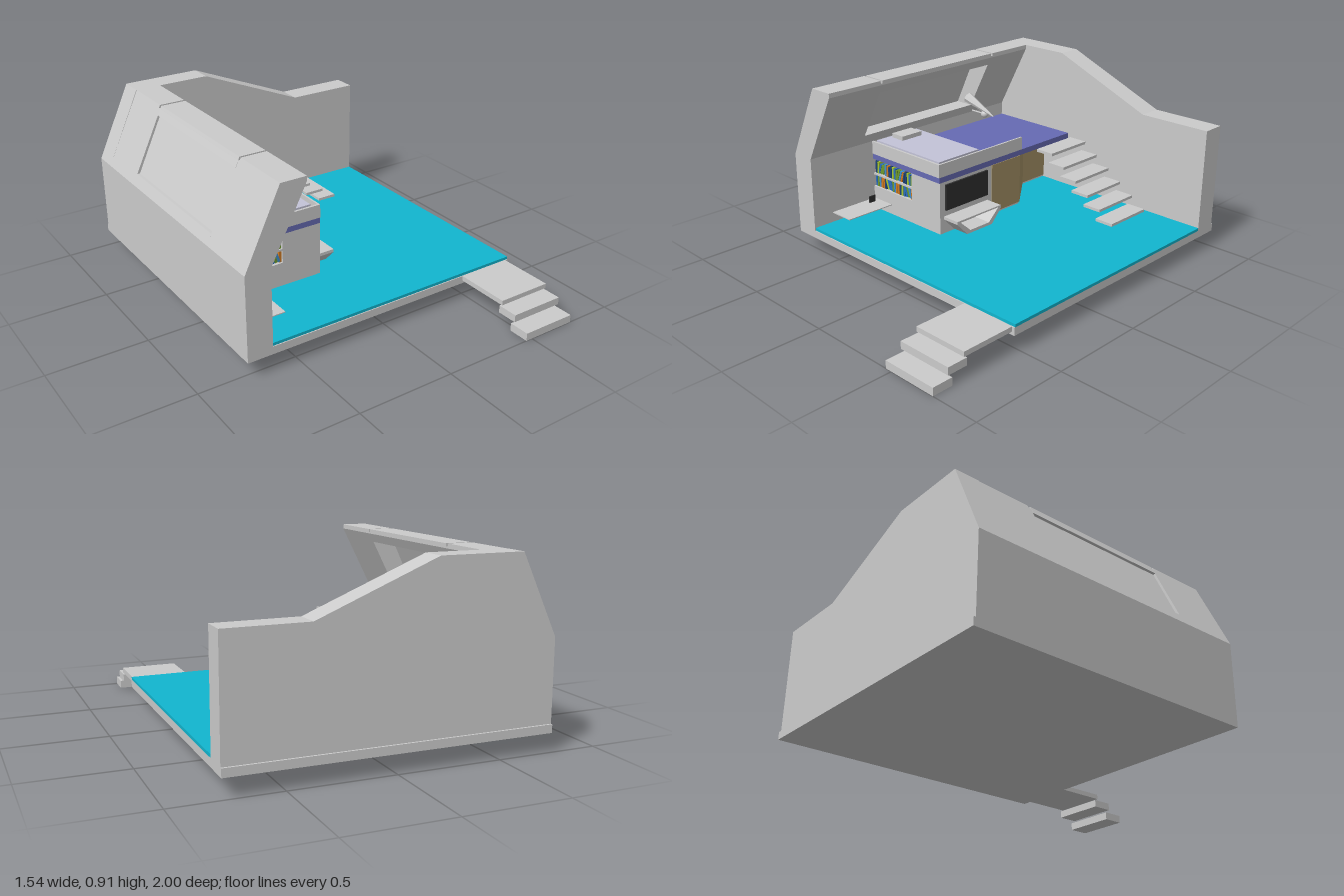
import * as THREE from 'three';

const material = (color) => new THREE.MeshStandardMaterial({ color });
const grey = material(0xcccccc);
const teal = material(0x11b6cf);
const purple = material(0x666ab3);
const lavender = material(0xc4c4d8);
const tan = material(0xa59266);
const black = material(0x303030);
const bookMats = [0x2a6fc0, 0xa8c832, 0x1c4378, 0xd07a20, 0x3f8fd0, 0x6f9a2c].map(material);

export function createModel() {
  const model = new THREE.Group();

  const add = (name, geo, mat = grey, parent = model) => {
    const mesh = new THREE.Mesh(geo, mat);
    mesh.name = name;
    parent.add(mesh);
    return mesh;
  };
  // Box given by its extents on each axis
  const box = (name, [x0, x1], [y0, y1], [z0, z1], mat, parent) => {
    const mesh = add(name, new THREE.BoxGeometry(x1 - x0, y1 - y0, z1 - z0), mat, parent);
    mesh.position.set((x0 + x1) / 2, (y0 + y1) / 2, (z0 + z1) / 2);
    return mesh;
  };
  const toShape = (pts) => new THREE.Shape(pts.map(([x, y]) => new THREE.Vector2(x, y)));
  const extrude = (shape, depth) => new THREE.ExtrudeGeometry(shape, { depth, bevelEnabled: false });
  // Profile in x, y drawn out along z
  const alongZ = (name, pts, z0, z1, mat, parent) =>
    add(name, extrude(toShape(pts), z1 - z0).translate(0, 0, z0), mat, parent);
  // Plan in x, z raised along y
  const raise = (name, plan, y0, y1, mat, parent) =>
    add(name, extrude(toShape(plan.map(([x, z]) => [x, -z])), y1 - y0).rotateX(-Math.PI / 2).translate(0, y0, 0), mat, parent);

  // Floor
  box('floorSlab', [-0.77, 0.77], [0.09, 0.13], [-1, 0.54]);
  box('carpet', [-0.64, 0.77], [0.13, 0.145], [-0.865, 0.535], teal);

  // Back wall with sloping top
  alongZ('backWall', [[-0.77, 0.13], [0.77, 0.13], [0.77, 0.675], [0.38, 0.675],
    [-0.185, 0.908], [-0.59, 0.908], [-0.77, 0.525]], -0.99, -0.865);

  // Slanted side wall, solid at both ends and open around the window
  const wall = new THREE.Group();
  wall.name = 'slantedWall';
  model.add(wall);
  const full = [[-0.77, 0.13], [-0.64, 0.13], [-0.64, 0.525], [-0.455, 0.885], [-0.455, 0.893], [-0.586, 0.893], [-0.594, 0.893], [-0.77, 0.525]];
  alongZ('wallBackSection', full, -0.865, -0.575, grey, wall);
  alongZ('wallFrontSection', full, 0.208, 0.54, grey, wall);
  alongZ('wallBelowWindow', [[-0.77, 0.13], [-0.64, 0.13], [-0.64, 0.525], [-0.613, 0.578],
    [-0.745, 0.578], [-0.77, 0.525]], -0.575, 0.208, grey, wall);
  alongZ('wallAboveWindow', [[-0.61, 0.863], [-0.478, 0.84], [-0.455, 0.885], [-0.455, 0.893],
    [-0.595, 0.893]], -0.575, 0.208, grey, wall);
  alongZ('windowPane', [[-0.73, 0.578], [-0.72, 0.578], [-0.587, 0.86], [-0.597, 0.86]], -0.575, 0.208, grey, wall);
  // Roof caps separated by narrow grooves
  [[-0.865, -0.59], [-0.575, 0.205], [0.217, 0.54]].forEach(([z0, z1]) =>
    alongZ('roofCap', [[-0.594, 0.893], [-0.455, 0.893], [-0.455, 0.908], [-0.587, 0.908]], z0, z1, grey, wall));

  // Cabinet under the bed, with a shelf recess and an angled niche
  const cabinet = new THREE.Group();
  cabinet.name = 'cabinet';
  model.add(cabinet);
  const side = [[-0.12, -0.455], [-0.3, -0.68], [-0.3, -0.865], [-0.64, -0.865]];
  raise('cabinetBase', [[-0.64, 0.135], [-0.12, 0.135], ...side], 0.145, 0.27, grey, cabinet);
  raise('cabinetUpper', [[-0.64, 0.04], [-0.335, 0.04], [-0.335, 0.135], [-0.12, 0.135], ...side], 0.27, 0.425, grey, cabinet);
  box('shelf', [-0.64, -0.335], [0.335, 0.345], [0.04, 0.135], grey, cabinet);
  raise('woodDoors', [[-0.12, -0.24], [-0.116, -0.24], [-0.116, -0.457], [-0.296, -0.682], [-0.296, -0.865],
    [-0.3, -0.865], [-0.3, -0.68], [-0.12, -0.455]], 0.155, 0.425, tan, cabinet);

  // Two rows of books, some leaning
  [0.272, 0.346].forEach((y, row) => {
    for (let i = 0; i < 20; i++) {
      const h = 0.056 + 0.012 * ((i * 7 + row * 3) % 4) / 3;
      const lean = (i + row * 4) % 10;
      const tilt = lean > 5 && lean < 9 ? (row ? -0.3 : 0.3) : 0;
      const book = add('book', new THREE.BoxGeometry(0.0125, h * (tilt ? 0.92 : 1), 0.075),
        bookMats[(i * 5 + row * 2 + (i >> 2)) % bookMats.length], cabinet);
      book.position.set(-0.627 + i * 0.0149, y + h / 2, 0.09);
      book.rotation.z = tilt;
    }
  });

  // Screen on the cabinet side
  box('screen', [-0.12, -0.11], [0.27, 0.41], [-0.203, 0.1], black);

  // Hollow trapezoid basin below the screen
  const basin = toShape([[-0.11, 0.238], [-0.11, 0.222], [-0.04, 0.15], [0.14, 0.15], [0.207, 0.222], [0.207, 0.238]]);
  basin.holes.push(new THREE.Path([[-0.09, 0.23], [0.187, 0.23], [0.118, 0.166], [-0.018, 0.166]]
    .map(([u, v]) => new THREE.Vector2(u, v))));
  const basinMesh = add('basin', extrude(basin, 0.1));
  basinMesh.rotation.y = Math.PI / 2;
  basinMesh.position.x = -0.12;

  // Sleeping platform, guard panels and mattress
  box('bedPlatform', [-0.64, -0.12], [0.425, 0.455], [-0.865, 0.137], purple);
  box('guardFront', [-0.64, -0.12], [0.455, 0.525], [0.127, 0.139]);
  box('guardSide', [-0.13, -0.12], [0.455, 0.525], [-0.475, 0.127]);
  box('mattress', [-0.64, -0.155], [0.455, 0.522], [-0.175, 0.105], lavender);
  box('pillow', [-0.62, -0.535], [0.522, 0.545], [-0.12, 0.015]);

  // Ball lamp on a short stem from the wall
  add('ballLamp', new THREE.SphereGeometry(0.022, 20, 14)).position.set(-0.53, 0.535, -0.605);
  const stem = add('ballLampStem', new THREE.CylinderGeometry(0.005, 0.005, 0.09, 8));
  stem.rotation.z = Math.PI / 2;
  stem.position.set(-0.585, 0.535, -0.605);

  // Tapered reading lamp pointing down and outwards
  const from = new THREE.Vector3(-0.565, 0.648, -0.505);
  const to = new THREE.Vector3(-0.37, 0.576, -0.51);
  const dir = to.clone().sub(from);
  const lamp = add('taperedLamp', new THREE.CylinderGeometry(0.003, 0.03, dir.length(), 8));
  lamp.material = new THREE.MeshStandardMaterial({ color: 0xcccccc, flatShading: true });
  lamp.position.copy(from).add(to).multiplyScalar(0.5);
  lamp.quaternion.setFromUnitVectors(new THREE.Vector3(0, 1, 0), dir.normalize());

  // Wall desk with a small screen
  box('desk', [-0.64, -0.5], [0.195, 0.2], [0.135, 0.42]);
  box('deskScreen', [-0.605, -0.598], [0.2, 0.236], [0.165, 0.205], black);

  // Floating stair treads
  for (let i = 0; i < 6; i++) {
    const x = -0.083 + i * 0.084, y = 0.43 - i * 0.0565;
    box('stairTread', [x, x + 0.108], [y, y + 0.015], [-0.84, -0.556]);
  }

  // Entrance landing and steps
  [[0.105, 0.13, 0.54, 0.825], [0.058, 0.096, 0.808, 0.915], [0, 0.04, 0.892, 1]].forEach(([y0, y1, z0, z1]) =>
    box('entranceStep', [0.465, 0.755], [y0, y1], [z0, z1]));

  return model;
}
